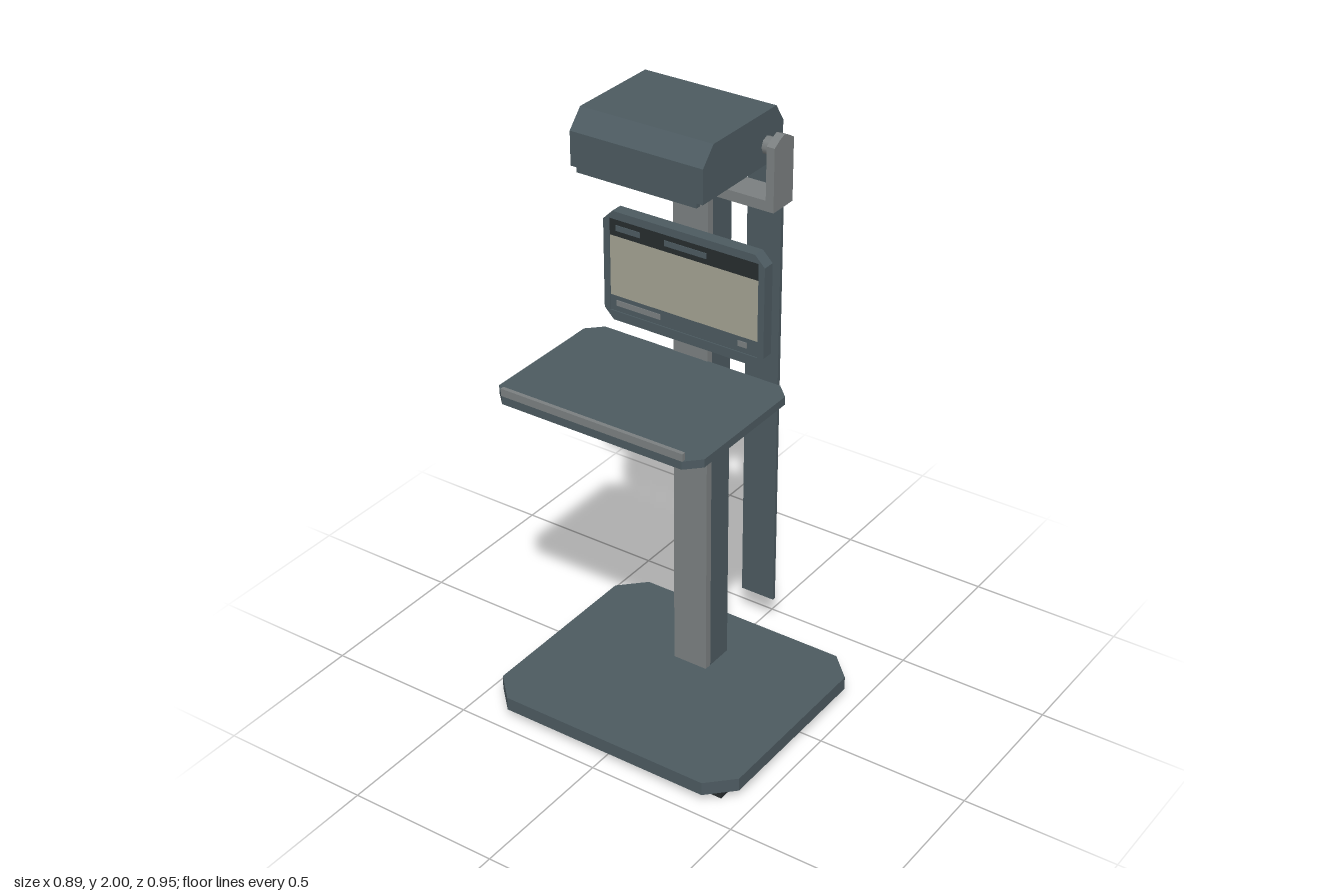
import * as THREE from 'three';

const material = (name, color) => {
  const m = new THREE.MeshStandardMaterial({ color });
  m.name = name;
  return m;
};

// Rectangle with cut corners
function chamferedShape(x0, y0, x1, y1, c) {
  return new THREE.Shape([
    [x0 + c, y0], [x1 - c, y0], [x1, y0 + c], [x1, y1 - c],
    [x1 - c, y1], [x0 + c, y1], [x0, y1 - c], [x0, y0 + c],
  ].map(([x, y]) => new THREE.Vector2(x, y)));
}

const extrude = (shape, depth) =>
  new THREE.ExtrudeGeometry(shape, { depth, bevelEnabled: false });

// Horizontal plate from y0 to y1, outline given in x and z
function slab(x0, z0, x1, z1, c, y0, y1) {
  return extrude(chamferedShape(x0, -z1, x1, -z0, c), y1 - y0)
    .rotateX(-Math.PI / 2).translate(0, y0, 0);
}

// Side profile of [z, y] points, extruded from x0 to x1
function sideProfile(points, x0, x1) {
  const shape = new THREE.Shape(points.map(([z, y]) => new THREE.Vector2(-z, y)));
  return extrude(shape, x1 - x0).rotateY(Math.PI / 2).translate(x0, 0, 0);
}

export function createModel() {
  const slate = material('slate', 0x4c5a60);
  const grey = material('grey', 0x7a7f80);
  const black = material('black', 0x262c2e);
  const beige = material('beige', 0xa3a292);

  const model = new THREE.Group();
  model.name = 'workstation';

  const group = (name) => {
    const g = new THREE.Group();
    g.name = name;
    model.add(g);
    return g;
  };
  const add = (parent, name, geometry, mat) => {
    const mesh = new THREE.Mesh(geometry, mat);
    mesh.name = name;
    parent.add(mesh);
    return mesh;
  };
  // Box given by its limits
  const box = (parent, name, mat, x0, x1, y0, y1, z0, z1) =>
    add(parent, name, new THREE.BoxGeometry(x1 - x0, y1 - y0, z1 - z0)
      .translate((x0 + x1) / 2, (y0 + y1) / 2, (z0 + z1) / 2), mat);

  // Base plate on four feet
  const base = group('base');
  add(base, 'basePlate', slab(-0.443, -0.31, 0.443, 0.45, 0.08, 0.03, 0.075), slate);
  for (const x of [-0.345, 0.345])
    for (const z of [-0.195, 0.345])
      box(base, 'foot', black, x - 0.055, x + 0.055, 0, 0.03, z - 0.055, z + 0.055);

  // Column: channel open at the back
  const column = group('column');
  box(column, 'columnFront', grey, -0.06, 0.06, 0.075, 1.725, -0.045, -0.02);
  for (const s of [-1, 1])
    box(column, 'columnRail', slate, s * 0.05 - 0.01, s * 0.05 + 0.01, 0.075, 1.725, -0.14, -0.045);

  // Cable and its clips inside the channel
  add(column, 'cable', new THREE.CylinderGeometry(0.012, 0.012, 1.6, 10).translate(0, 0.89, -0.085), black);
  for (const y of [0.2, 0.88, 1.59])
    box(column, 'cableClip', black, -0.024, 0.024, y - 0.02, y + 0.02, -0.135, -0.045);

  // Detached rear cover with a looped handle
  const cover = group('rearCover');
  box(cover, 'coverPanel', slate, -0.06, 0.06, 0.115, 1.68, -0.42, -0.408);
  for (const s of [-1, 1])
    box(cover, 'handleSide', grey, s * 0.016 - 0.006, s * 0.016 + 0.006, 0.855, 0.9, -0.464, -0.42);
  box(cover, 'handleGrip', grey, -0.022, 0.022, 0.855, 0.9, -0.478, -0.464);

  // Shelf with front lip and two gussets
  const shelf = group('shelf');
  add(shelf, 'shelfPlate', slab(-0.355, -0.023, 0.355, 0.475, 0.045, 1.16, 1.186), slate);
  box(shelf, 'shelfLip', grey, -0.313, 0.313, 1.186, 1.21, 0.462, 0.475);
  for (const x of [-0.051, 0.051])
    add(shelf, 'gusset', sideProfile(
      [[-0.02, 0.93], [-0.02, 1.16], [0.395, 1.16]], x - 0.007, x + 0.007), grey);

  // Display housing, with a framed screen
  const display = group('display');
  const rim = chamferedShape(-0.278, 1.25, 0.278, 1.605, 0.033);
  add(display, 'displayBack', extrude(rim, 0.031).translate(0, 0, -0.02), slate);
  const frame = chamferedShape(-0.278, 1.25, 0.278, 1.605, 0.033);
  frame.holes.push(new THREE.Path([[-0.257, 1.28], [-0.257, 1.58], [0.257, 1.58], [0.257, 1.28]]
    .map(([x, y]) => new THREE.Vector2(x, y))));
  add(display, 'displayFrame', extrude(frame, 0.009).translate(0, 0, 0.011), slate);
  box(display, 'screenHeader', black, -0.257, 0.257, 1.525, 1.58, 0.011, 0.017);
  box(display, 'screenArea', beige, -0.257, 0.257, 1.33, 1.525, 0.011, 0.017);
  box(display, 'screenFooter', slate, -0.257, 0.257, 1.28, 1.33, 0.011, 0.017);
  for (const [x0, x1, y] of [[-0.235, -0.15, 1.552], [-0.065, 0.08, 1.552],
    [-0.235, -0.08, 1.307], [0.19, 0.22, 1.307]])
    box(display, 'screenMark', y > 1.5 ? slate : grey, x0, x1, y - 0.009, y + 0.009, 0.017, 0.019);

  // Yoke holding the head
  const yoke = group('yoke');
  box(yoke, 'yokeBar', grey, -0.277, 0.277, 1.725, 1.757, -0.118, -0.02);
  for (const s of [-1, 1]) {
    add(yoke, 'yokeArm', sideProfile([[-0.02, 1.757], [-0.02, 1.92], [-0.045, 1.935], [-0.069, 1.945],
      [-0.093, 1.935], [-0.118, 1.92], [-0.118, 1.757]], s * 0.264 - 0.013, s * 0.264 + 0.013), grey);
    add(yoke, 'pivot', new THREE.CylinderGeometry(0.027, 0.027, 0.035, 8)
      .rotateZ(Math.PI / 2).translate(s * 0.235, 1.9, -0.069), grey);
  }

  // Head with sloped front and back edges
  const head = group('head');
  add(head, 'headBody', sideProfile([[0.243, 1.84], [0.243, 1.945], [0.193, 2], [-0.115, 2],
    [-0.152, 1.945], [-0.152, 1.84]], -0.22, 0.22), slate);
  box(head, 'headLip', slate, -0.2, 0.2, 1.825, 1.84, 0.226, 0.243);
  box(head, 'socket', black, 0.11, 0.165, 1.86, 1.9, -0.165, -0.152);

  return model;
}
